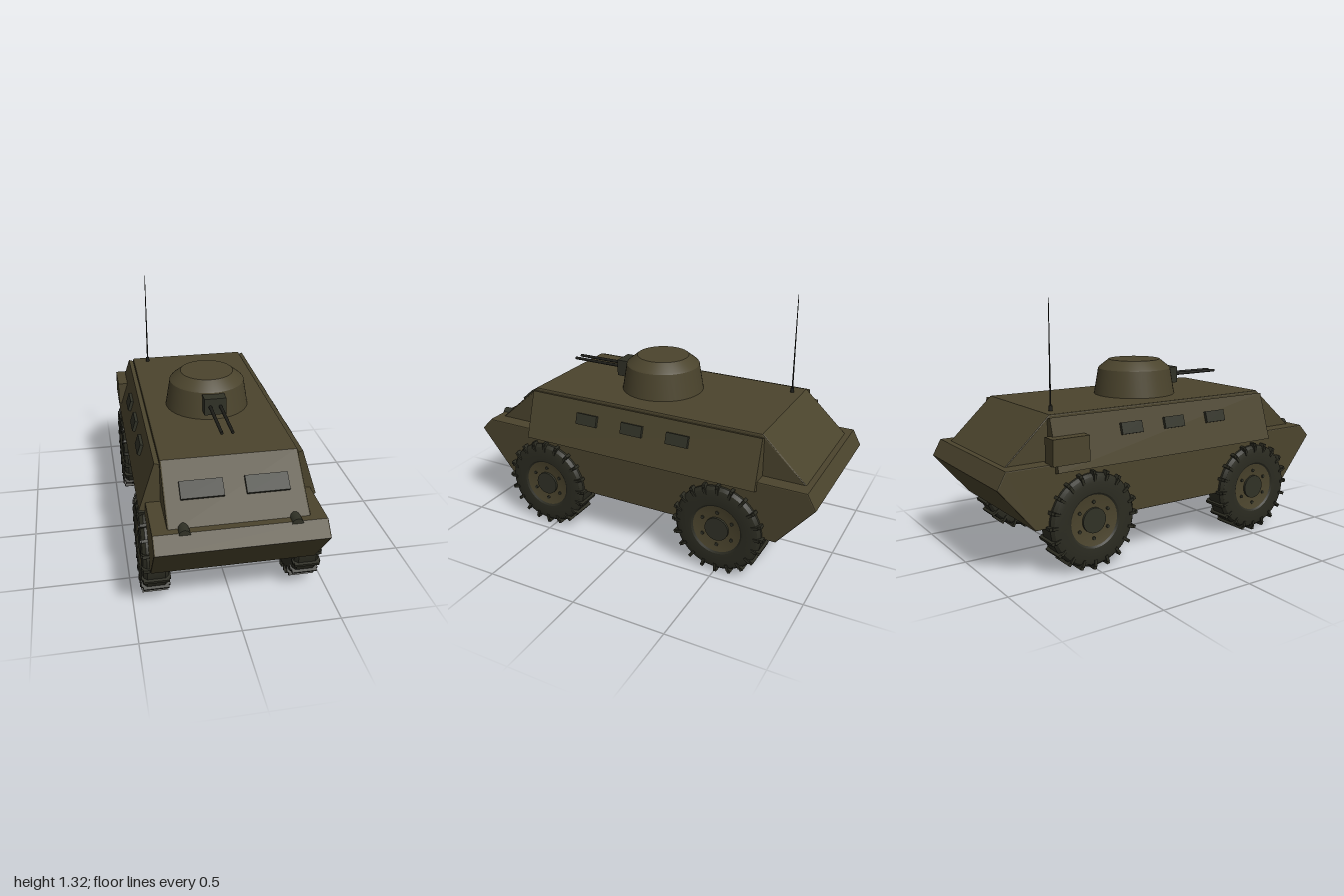
import * as THREE from 'three';
import { toCreasedNormals } from 'three/addons/utils/BufferGeometryUtils.js';

const mat = (name, color) => Object.assign(new THREE.MeshStandardMaterial({ color }), { name });

export function createModel() {
  const olive = mat('olive armour', 0x4b442d);
  const rubber = mat('tyre rubber', 0x2b2b21);
  const dark = mat('dark fittings', 0x303126);
  const metal = mat('gun metal', 0x1d1d18);
  const model = new THREE.Group();
  model.name = 'armouredCar';

  const add = (name, geometry, material, pos = [0, 0, 0], parent = model) => {
    const mesh = new THREE.Mesh(geometry, material);
    mesh.name = name;
    mesh.position.set(...pos);
    parent.add(mesh);
    return mesh;
  };
  const box = (w, h, d) => new THREE.BoxGeometry(w, h, d);
  const extrude = (points, length, bevel) => {
    const shape = new THREE.Shape(points.map(p => new THREE.Vector2(...p)));
    const g = new THREE.ExtrudeGeometry(shape, {
      depth: length - 2 * bevel, bevelEnabled: bevel > 0, bevelSize: bevel,
      bevelThickness: bevel, bevelOffset: -bevel, bevelSegments: 2,
    });
    return g.translate(0, 0, bevel - length / 2);
  };
  const lathe = (points, segments) => toCreasedNormals(
    new THREE.LatheGeometry(points.map(p => new THREE.Vector2(...p)), segments), 0.4);

  // Hull and raised cabin: side profiles (z, y) extruded across the width
  const hull = [[-0.81, 0.245], [0.8, 0.245], [1, 0.488], [0.935, 0.555], [-0.955, 0.555], [-1, 0.472]];
  add('hull', extrude(hull, 0.83, 0.006).rotateY(-Math.PI / 2), olive);
  const cabin = [[-0.94, 0.54], [0.915, 0.54], [0.645, 0.777], [-0.69, 0.777]];
  add('cabin', extrude(cabin, 0.68, 0.008).rotateY(-Math.PI / 2), olive);

  // Sloping side armour with three vision blocks each
  const slope = Math.atan2(0.08, 0.25);
  for (const s of [1, -1]) {
    const side = [[0.3, 0.745], [0.365, 0.766], [0.446, 0.515], [0.415, 0.506], [0.3, 0.506]];
    add('sideArmour', extrude(side.map(([x, y]) => [s * x, y]), 1.35, 0), olive, [0, 0, -0.025]);
    for (const z of [0.28, 0.005, -0.26]) {
      const port = add('sideVisionBlock', box(0.03, 0.06, 0.125), dark, [s * 0.396, 0.675, z]);
      port.rotation.z = s * slope;
    }
    // Windscreen block and headlamp
    const screen = add('windscreen', box(0.209, 0.088, 0.036), dark, [s * 0.158, 0.672, 0.766]);
    screen.rotation.x = -0.85;
    add('headlamp', new THREE.CylinderGeometry(0.028, 0.028, 0.07, 20).rotateX(Math.PI / 2),
      dark, [s * 0.265, 0.545, 0.908]);
  }
  add('stowageBox', box(0.08, 0.13, 0.2), olive, [-0.408, 0.614, -0.63]);

  // Turret with twin guns
  const turret = new THREE.Group();
  turret.name = 'turret';
  turret.position.set(0, 0.77, 0.03);
  model.add(turret);
  add('turretShell', lathe([[0.226, 0], [0.201, 0.148], [0.194, 0.156], [0.142, 0.197], [0, 0.197]], 48),
    olive, [0, 0, 0], turret);
  add('gunMount', box(0.116, 0.09, 0.1), dark, [0, 0.095, 0.21], turret);
  for (const x of [-0.027, 0.027]) {
    add('gunBarrel', new THREE.CylinderGeometry(0.008, 0.009, 0.32, 14).rotateX(Math.PI / 2),
      metal, [x, 0.095, 0.4], turret);
  }

  // Whip antenna
  add('antennaBase', new THREE.CylinderGeometry(0.009, 0.011, 0.03, 14), metal, [-0.253, 0.787, -0.635]);
  add('antenna', new THREE.CylinderGeometry(0.0018, 0.0045, 0.525, 8), metal, [-0.253, 1.0575, -0.635]);

  // Wheels: everything is turned about y, then laid along x
  const tyre = lathe([[0.125, -0.055], [0.14, -0.066], [0.195, -0.07], [0.222, -0.062], [0.236, -0.045],
    [0.236, 0.045], [0.222, 0.062], [0.195, 0.07], [0.14, 0.066], [0.125, 0.055]], 48);
  const rim = lathe([[0, -0.05], [0.09, -0.05], [0.135, -0.06], [0.135, 0.06], [0.09, 0.05], [0, 0.05]], 40);
  const hub = new THREE.CylinderGeometry(0.064, 0.064, 0.124, 28);
  const bolt = new THREE.CylinderGeometry(0.009, 0.009, 0.116, 10);
  const tread = box(0.026, 0.13, 0.016);
  const shoulder = box(0.035, 0.144, 0.014);
  for (const z of [0.542, -0.506]) {
    for (const s of [1, -1]) {
      const wheel = new THREE.Group();
      wheel.name = 'wheel';
      wheel.position.set(s * 0.383, 0.25, z);
      wheel.rotation.z = -s * Math.PI / 2;
      model.add(wheel);
      add('tyre', tyre, rubber, [0, 0, 0], wheel);
      add('rim', rim, olive, [0, 0, 0], wheel);
      add('hub', hub, dark, [0, 0, 0], wheel);
      for (let i = 0; i < 6; i++) {
        const a = i * Math.PI / 3;
        add('wheelBolt', bolt, dark, [0.093 * Math.cos(a), 0, 0.093 * Math.sin(a)], wheel);
      }
      for (let i = 0; i < 20; i++) {
        const a = i * Math.PI / 10;
        const c = Math.cos(a), n = Math.sin(a);
        add('treadBar', tread, rubber, [0.237 * c, 0, 0.237 * n], wheel).rotation.y = -a;
        add('shoulderLug', shoulder, rubber, [0.217 * c, 0, 0.217 * n], wheel).rotation.y = -a;
      }
    }
    add('axle', new THREE.CylinderGeometry(0.03, 0.03, 0.72, 20).rotateZ(Math.PI / 2), dark, [0, 0.25, z]);
  }
  return model;
}
